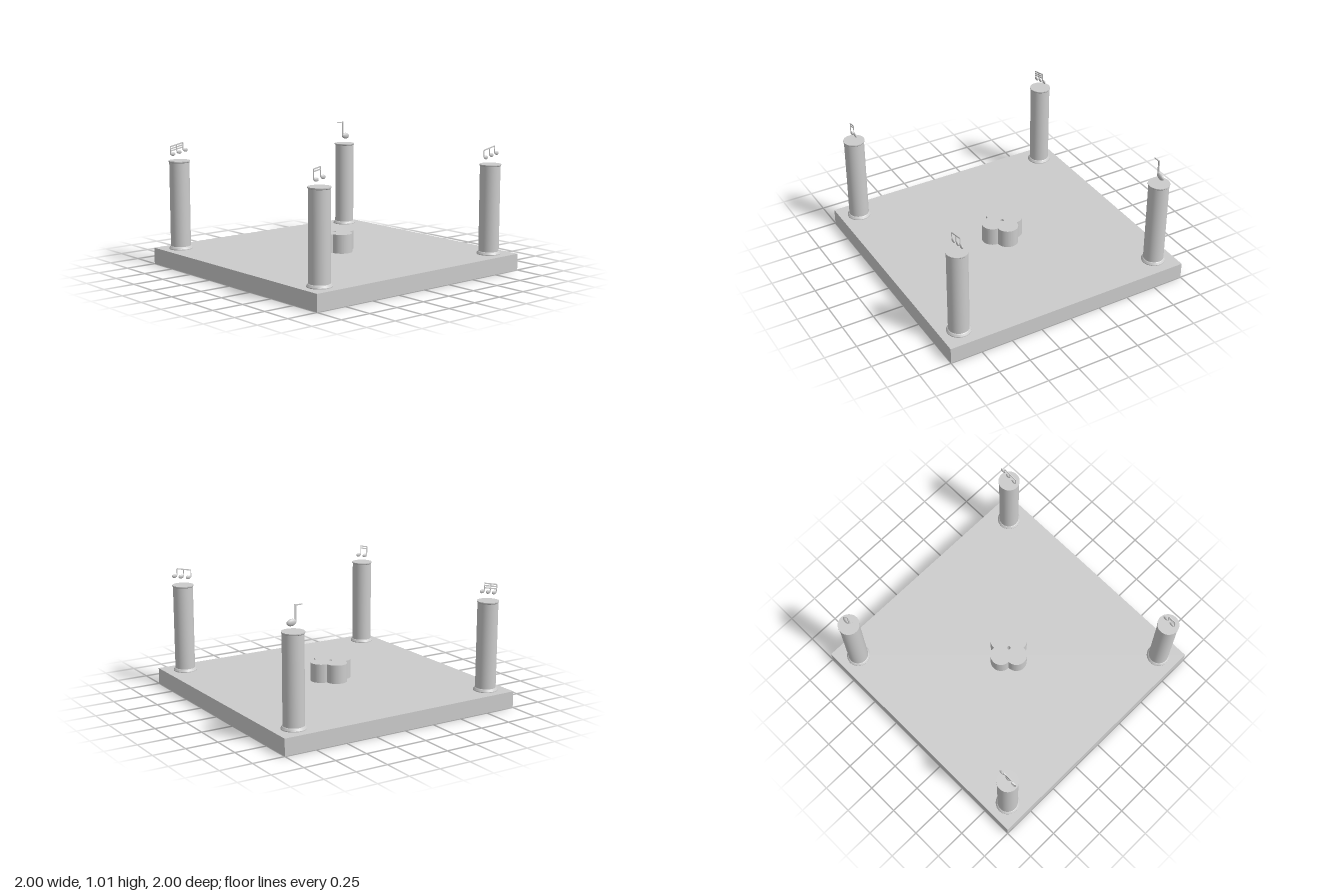
import * as THREE from 'three';

const material = new THREE.MeshStandardMaterial({ color: 0xcccccc });

function addMesh(parent, name, geometry, x = 0, y = 0, z = 0) {
  const mesh = new THREE.Mesh(geometry, material);
  mesh.name = name;
  mesh.position.set(x, y, z);
  parent.add(mesh);
  return mesh;
}

// Straight bar between two points in the note's plane
function addBar(parent, name, x0, y0, x1, y1, width, depth) {
  const length = Math.hypot(x1 - x0, y1 - y0);
  const bar = addMesh(parent, name, new THREE.BoxGeometry(length, width, depth), (x0 + x1) / 2, (y0 + y1) / 2);
  bar.rotation.z = Math.atan2(y1 - y0, x1 - x0);
}

function addHead(parent, x, y, rx, ry, rz) {
  const head = addMesh(parent, 'noteHead', new THREE.SphereGeometry(1, 24, 16), x, y);
  head.scale.set(rx, ry, rz);
  head.rotation.z = -0.12;
}

// Row of note heads, each with a stem on its -x side, joined by sloping beams
function beamedNotes(headXs, headY, beamY, beamCount) {
  const group = new THREE.Group();
  group.name = 'beamedNotes';
  const slope = 0.2;
  const stemXs = headXs.map((x) => x - 0.022);
  headXs.forEach((x, i) => {
    const y = headY + (x - headXs[0]) * slope;
    const top = beamY + (stemXs[i] - stemXs[0]) * slope;
    addHead(group, x, y, 0.022, 0.015, 0.008);
    addBar(group, 'stem', stemXs[i], y, stemXs[i], top, 0.005, 0.005);
  });
  const a = stemXs[0], b = stemXs[stemXs.length - 1];
  for (let i = 0; i < beamCount; i++) {
    const y = beamY - i * 0.017;
    addBar(group, 'beam', a, y, b, y + (b - a) * slope, 0.009, 0.005);
  }
  return group;
}

// One large note with a stem and a short flag
function singleNote() {
  const group = new THREE.Group();
  group.name = 'singleNote';
  addHead(group, 0.012, 0.885, 0.038, 0.025, 0.016);
  addBar(group, 'stem', -0.019, 0.885, -0.019, 1.008, 0.01, 0.01);
  addBar(group, 'flag', -0.072, 1.003, -0.016, 1.003, 0.007, 0.007);
  return group;
}

// Column with a flared foot and a small lip at the top
function columnGeometry() {
  const rings = [
    [0, 0.126], [0.092, 0.126], [0.092, 0.134], [0.083, 0.148], [0.078, 0.152],
    [0.078, 0.808], [0.083, 0.814], [0.083, 0.822], [0, 0.822],
  ];
  // Doubled points keep the edges of the profile sharp
  const points = rings.flatMap(([r, y]) => [new THREE.Vector2(r, y), new THREE.Vector2(r, y)]);
  return new THREE.LatheGeometry(points.slice(1, -1), 48);
}

// Four-lobed outline with a small hole through the middle
function quatrefoilGeometry(height) {
  const r = 0.083, d = 0.086;
  const shape = new THREE.Shape();
  for (let i = 0; i < 4; i++) {
    const a = (i * Math.PI) / 2;
    const cut = Math.PI - Math.acos(Math.min(1, (d - r * 0.98) / r)) + 0.02;
    const sweep = Math.min(cut, Math.PI * 0.52);
    shape.absarc(d * Math.cos(a), d * Math.sin(a), r, a - sweep, a + sweep, false);
  }
  const hole = new THREE.Path();
  hole.absarc(0, 0, 0.014, 0, Math.PI * 2, true);
  shape.holes.push(hole);
  const geometry = new THREE.ExtrudeGeometry(shape, { depth: height, bevelEnabled: false, curveSegments: 24 });
  return geometry.rotateX(-Math.PI / 2);
}

export function createModel() {
  const model = new THREE.Group();
  model.name = 'courtyard';

  addMesh(model, 'base', new THREE.BoxGeometry(2, 0.128, 2), 0, 0.064, 0);
  addMesh(model, 'quatrefoilBasin', quatrefoilGeometry(0.146), -0.002, 0.136, 0.006);

  // Corner columns, each crowned by a floating note
  const column = columnGeometry();
  const corners = [
    [-0.85, 0.847, beamedNotes([-0.028, 0.034], 0.872, 0.945, 2)],
    [0.838, 0.847, beamedNotes([-0.05, 0.012, 0.068], 0.877, 0.932, 1)],
    [-0.85, -0.85, beamedNotes([-0.058, 0.0, 0.058], 0.877, 0.935, 3)],
    [0.838, -0.848, singleNote()],
  ];
  for (const [x, z, note] of corners) {
    addMesh(model, 'column', column, x, 0, z);
    note.position.set(x, 0, z);
    model.add(note);
  }
  return model;
}
